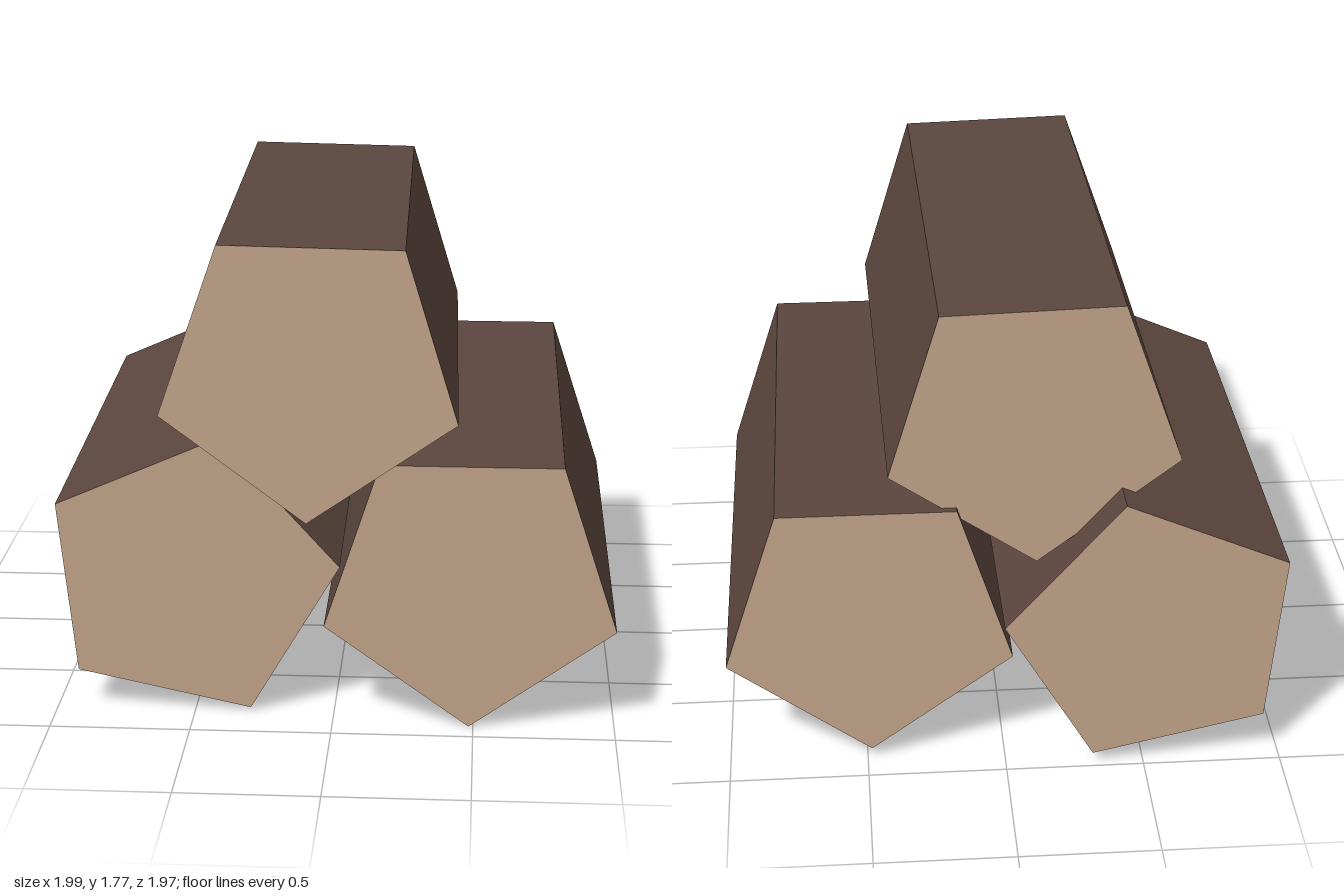
import * as THREE from 'three';

const bark = new THREE.MeshStandardMaterial({ color: 0x5b463e });
bark.name = 'dark brown bark';
const cutWood = new THREE.MeshStandardMaterial({ color: 0xc2a48a });
cutWood.name = 'pale cut wood';

// Five-sided log running between the centres of its back and front cuts
function makeLog(name, back, front, rollDegrees) {
  const start = new THREE.Vector3(...back);
  const end = new THREE.Vector3(...front);
  const axis = end.clone().sub(start);
  const roll = THREE.MathUtils.degToRad(rollDegrees);

  // Lay the cylinder along z, with a corner at the bottom when roll is 0
  const geometry = new THREE.CylinderGeometry(0.54, 0.54, axis.length(), 5, 1, false, roll)
    .rotateX(Math.PI / 2)
    .toNonIndexed();
  geometry.computeVertexNormals(); // flat faces

  // Geometry groups: side, front cut, back cut
  const log = new THREE.Mesh(geometry, [bark, cutWood, cutWood]);
  log.name = name;
  log.position.copy(start).add(end).multiplyScalar(0.5);
  log.quaternion.setFromUnitVectors(new THREE.Vector3(0, 0, 1), axis.normalize());
  return log;
}

export function createModel() {
  const model = new THREE.Group();
  model.name = 'logPile';
  model.add(
    makeLog('bottomLeftLog', [0.484, 0.583, -0.88], [0.484, 0.543, 0.927], 0),
    makeLog('bottomRightLog', [-0.531, 0.545, -0.975], [-0.516, 0.51, 0.833], 23.6),
    makeLog('topLog', [-0.105, 1.326, -0.835], [-0.075, 1.313, 0.972], -1.2),
  );
  return model;
}
